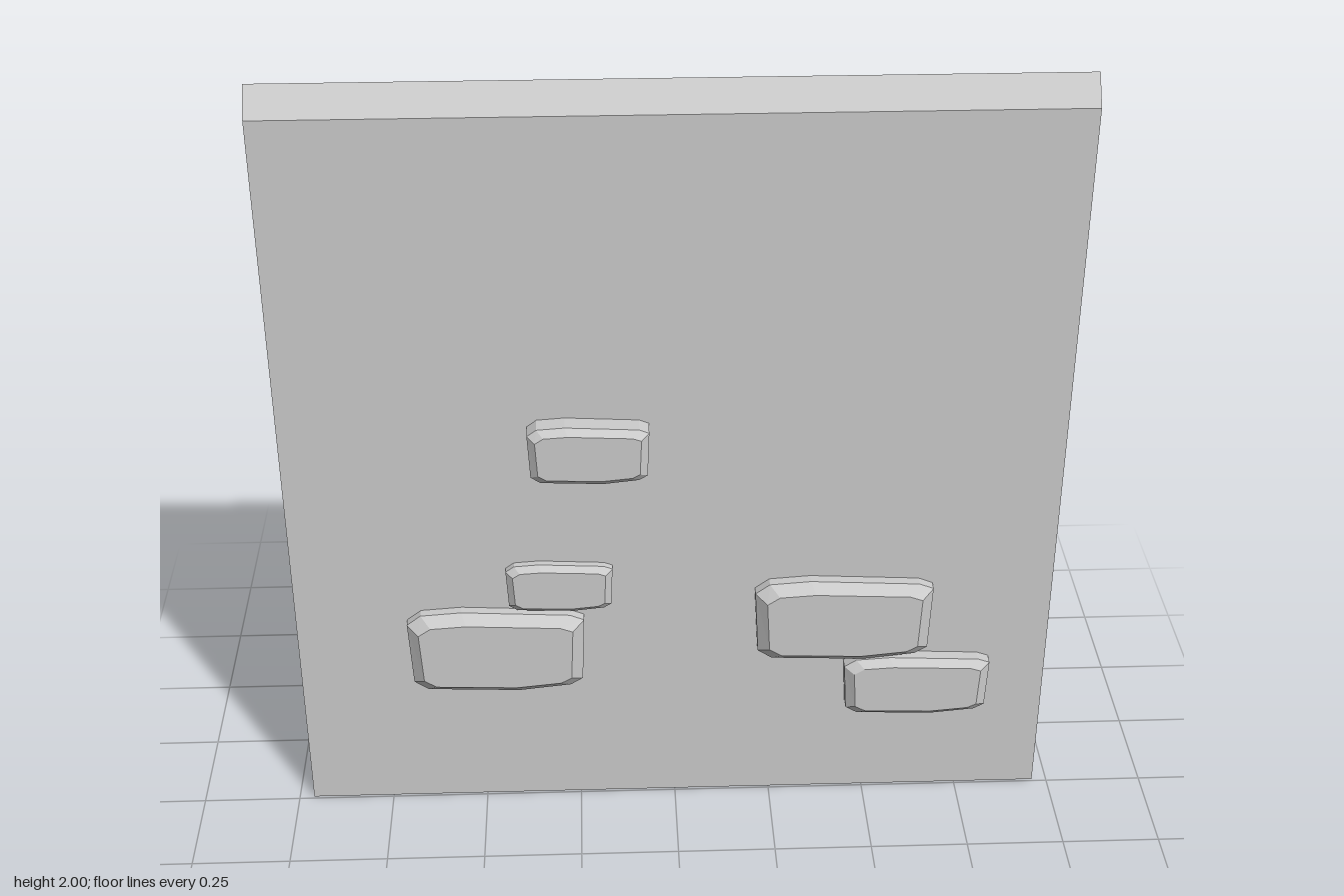
import * as THREE from 'three';

const material = new THREE.MeshStandardMaterial({ color: 0xcccccc, flatShading: true, side: THREE.DoubleSide });

// Worn brick outline in a unit box, anticlockwise from the upper left
const OUTLINE = [
  [0, 0.86], [0.08, 0.97], [0.31, 1], [0.92, 0.94], [1, 0.88],
  [0.985, 0.14], [0.915, 0.06], [0.62, 0], [0.1, 0.04], [0.02, 0.14],
].reverse().map(([x, y]) => [x - 0.5, y - 0.5]);

// Open-backed brick: straight sides, a bevel and a flat front face
function brick(name, x0, x1, y0, y1, back, front, bevel) {
  const w = x1 - x0, h = y1 - y0;
  const rings = [[1, 1, back], [1, 1, front - bevel], [0.87, 0.79, front]]
    .map(([sx, sy, z]) => OUTLINE.map(([x, y]) => [x * w * sx, y * h * sy, z]));
  const pos = [], n = OUTLINE.length;
  for (let r = 0; r < 2; r++) {
    for (let i = 0; i < n; i++) {
      const j = (i + 1) % n;
      const a = rings[r][i], b = rings[r][j], c = rings[r + 1][j], d = rings[r + 1][i];
      pos.push(...a, ...b, ...c, ...a, ...c, ...d);
    }
  }
  for (let i = 0; i < n; i++) {
    pos.push(0, 0, front, ...rings[2][i], ...rings[2][(i + 1) % n]);
  }
  const geo = new THREE.BufferGeometry();
  geo.setAttribute('position', new THREE.Float32BufferAttribute(pos, 3));
  geo.computeVertexNormals();
  const mesh = new THREE.Mesh(geo, material);
  mesh.name = name;
  mesh.position.set((x0 + x1) / 2, (y0 + y1) / 2, 0);
  return mesh;
}

// Thin wall sheet whose top strip leans backwards
function wall() {
  const geo = new THREE.PlaneGeometry(1.924, 2, 1, 2);
  const p = geo.attributes.position;
  const rows = [[2, -0.056], [1.932, -0.007], [0, -0.007]];
  for (let i = 0; i < p.count; i++) {
    const [y, z] = rows[Math.floor(i / 2)];
    p.setXYZ(i, p.getX(i), y, z);
  }
  const flat = geo.toNonIndexed();
  flat.computeVertexNormals();
  const mesh = new THREE.Mesh(flat, material);
  mesh.name = 'wall';
  return mesh;
}

export function createModel() {
  const group = new THREE.Group();
  group.name = 'brickWall';
  group.add(
    wall(),
    brick('topBrick', -0.358, -0.063, 0.993, 1.153, -0.01, 0.057, 0.016),
    brick('middleBrick', -0.425, -0.157, 0.598, 0.74, -0.034, 0.025, 0.014),
    brick('largeRightBrick', -0.68, -0.231, 0.357, 0.604, -0.056, 0.043, 0.025),
    brick('largeLeftBrick', 0.203, 0.655, 0.434, 0.678, -0.056, 0.045, 0.025),
    brick('lowBrick', 0.437, 0.813, 0.257, 0.438, -0.018, 0.042, 0.018),
  );
  return group;
}
